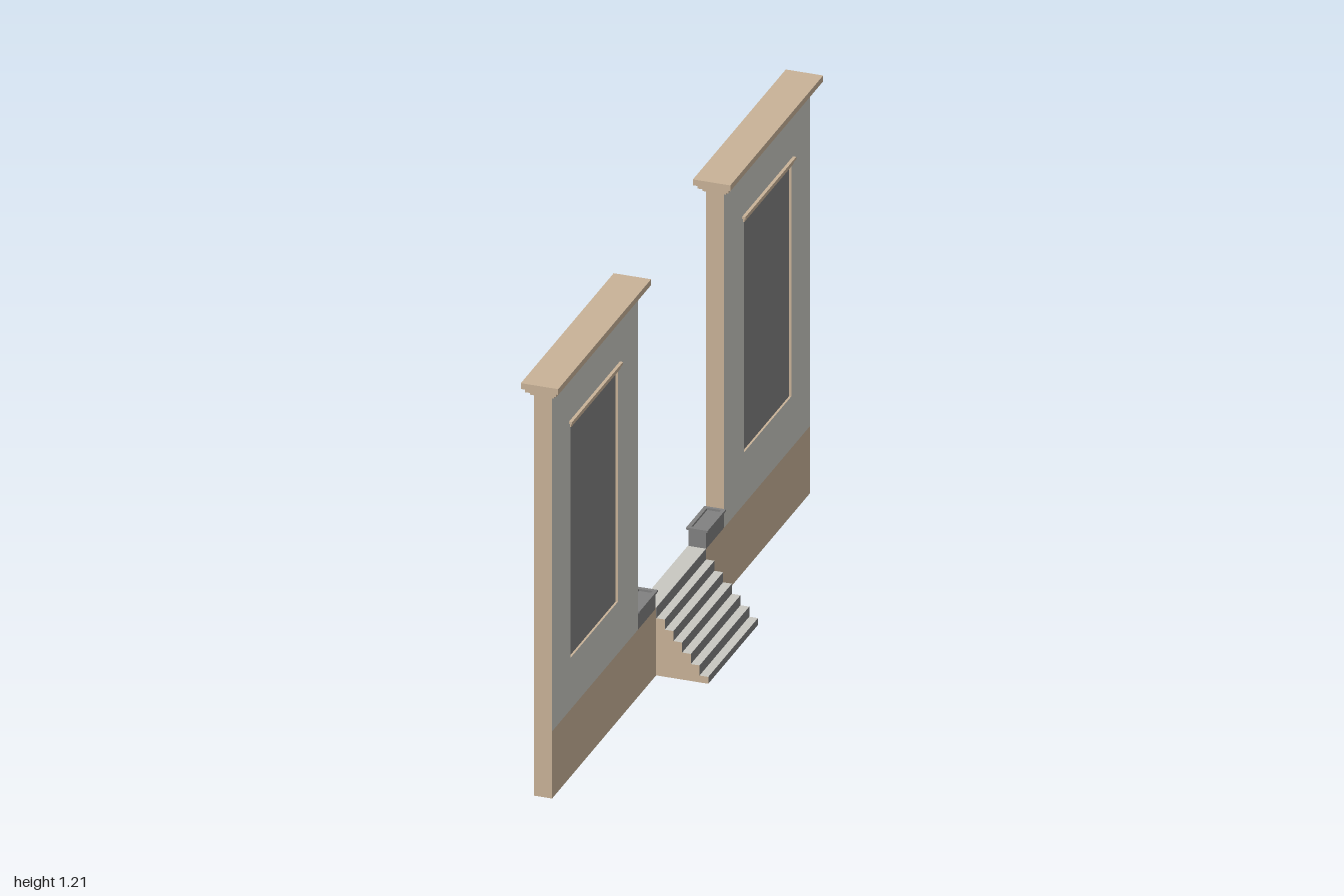
import * as THREE from 'three';

const material = (name, color) => {
  const m = new THREE.MeshStandardMaterial({ color });
  m.name = name;
  return m;
};

export function createModel() {
  const tan = material('tanStone', 0xc8b297);
  const pale = material('paleStucco', 0xc8c7c1);
  const gray = material('darkGray', 0x808080);
  const model = new THREE.Group();
  model.name = 'entranceWall';

  const BACK = -0.085, FRONT = -0.035, RECESS = 0.008;
  const BASE = 0.195, WALL_TOP = 1.166;

  // Box given by its limits on each axis
  const box = (parent, name, mat, [x0, x1], [y0, y1], [z0, z1]) => {
    const mesh = new THREE.Mesh(new THREE.BoxGeometry(x1 - x0, y1 - y0, z1 - z0), mat);
    mesh.position.set((x0 + x1) / 2, (y0 + y1) / 2, (z0 + z1) / 2);
    mesh.name = name;
    parent.add(mesh);
    return mesh;
  };
  const rect = (Type, [a0, a1], [b0, b1]) => new Type([
    new THREE.Vector2(a0, b0), new THREE.Vector2(a1, b0),
    new THREE.Vector2(a1, b1), new THREE.Vector2(a0, b1),
  ]);

  // Low plinth running the whole length
  box(model, 'plinth', tan, [BACK, FRONT], [0, BASE], [-0.97, 0.97]);

  for (const side of [1, -1]) {
    const wing = new THREE.Group();
    wing.name = side > 0 ? 'leftWing' : 'rightWing';
    model.add(wing);
    const span = (a, b) => (side > 0 ? [a, b] : [-b, -a]);
    const wallZ = span(0.325, 0.97), windowZ = span(0.475, 0.83);
    const windowY = [0.345, 1.02];

    // Tall wall core
    box(wing, 'wallCore', tan, [BACK, FRONT - RECESS], [BASE, WALL_TOP], wallZ);

    // Stucco face with a window opening, tan on its edges
    const flip = ([a, b]) => [-b, -a];
    const face = rect(THREE.Shape, flip(wallZ), [BASE, WALL_TOP]);
    face.holes.push(rect(THREE.Path, flip(windowZ), windowY));
    const faceGeo = new THREE.ExtrudeGeometry(face, { depth: RECESS, bevelEnabled: false });
    faceGeo.rotateY(Math.PI / 2).translate(FRONT - RECESS, 0, 0);
    const facade = new THREE.Mesh(faceGeo, [pale, tan]);
    facade.name = 'facade';
    wing.add(facade);

    // Window pane and its small stepped hood
    box(wing, 'windowPane', gray, [FRONT - RECESS, FRONT - RECESS + 0.002], windowY, windowZ);
    box(wing, 'windowHoodLower', tan, [FRONT, -0.031], [1.018, 1.029], span(0.467, 0.837));
    box(wing, 'windowHoodUpper', tan, [FRONT, -0.026], [1.029, 1.036], span(0.46, 0.843));

    // Stepped cornice
    [[0.008, 1.166, 1.176], [0.018, 1.176, 1.188], [0.027, 1.188, 1.205]].forEach(([out, y0, y1], i) => {
      box(wing, 'cornice' + (i + 1), tan, [BACK - out, FRONT + out], [y0, y1],
        span(0.325 - out, 0.97 + out));
    });

    // Pedestal block with a thin overhanging rim
    box(wing, 'pedestal', gray, [BACK, FRONT], [BASE, 0.243], span(0.19, 0.325));
    const rimZ = span(0.187, 0.325);
    const rim = rect(THREE.Shape, [-0.09, -0.03], flip(rimZ));
    rim.holes.push(rect(THREE.Path, [-0.079, -0.041], flip(span(0.198, 0.316))));
    const rimGeo = new THREE.ExtrudeGeometry(rim, { depth: 0.006, bevelEnabled: false });
    rimGeo.rotateX(-Math.PI / 2).translate(0, 0.243, 0);
    const rimMesh = new THREE.Mesh(rimGeo, gray);
    rimMesh.name = 'pedestalRim';
    wing.add(rimMesh);
  }

  // Landing slab between the pedestals
  box(model, 'landing', [gray, tan, pale, tan, tan, tan],
    [BACK, FRONT], [BASE, BASE + 0.002], [-0.187, 0.187]);

  // Steps: pale treads, gray risers, tan cheeks
  const stairs = new THREE.Group();
  stairs.name = 'stairs';
  model.add(stairs);
  const count = 6, run = 0.0242, rise = 0.0292;
  for (let i = 0; i < count; i++) {
    const x1 = 0.11 - i * run;
    const x0 = i === count - 1 ? FRONT : x1 - run;
    const top = 0.02 + i * rise;
    box(stairs, 'step' + (i + 1), [gray, tan, pale, tan, tan, tan],
      [x0, x1], [0, top], [-0.187, 0.187]);
  }
  // Top riser against the plinth
  box(stairs, 'topRiser', gray, [FRONT, FRONT + 0.001], [0.165, BASE + 0.002], [-0.187, 0.187]);

  return model;
}
